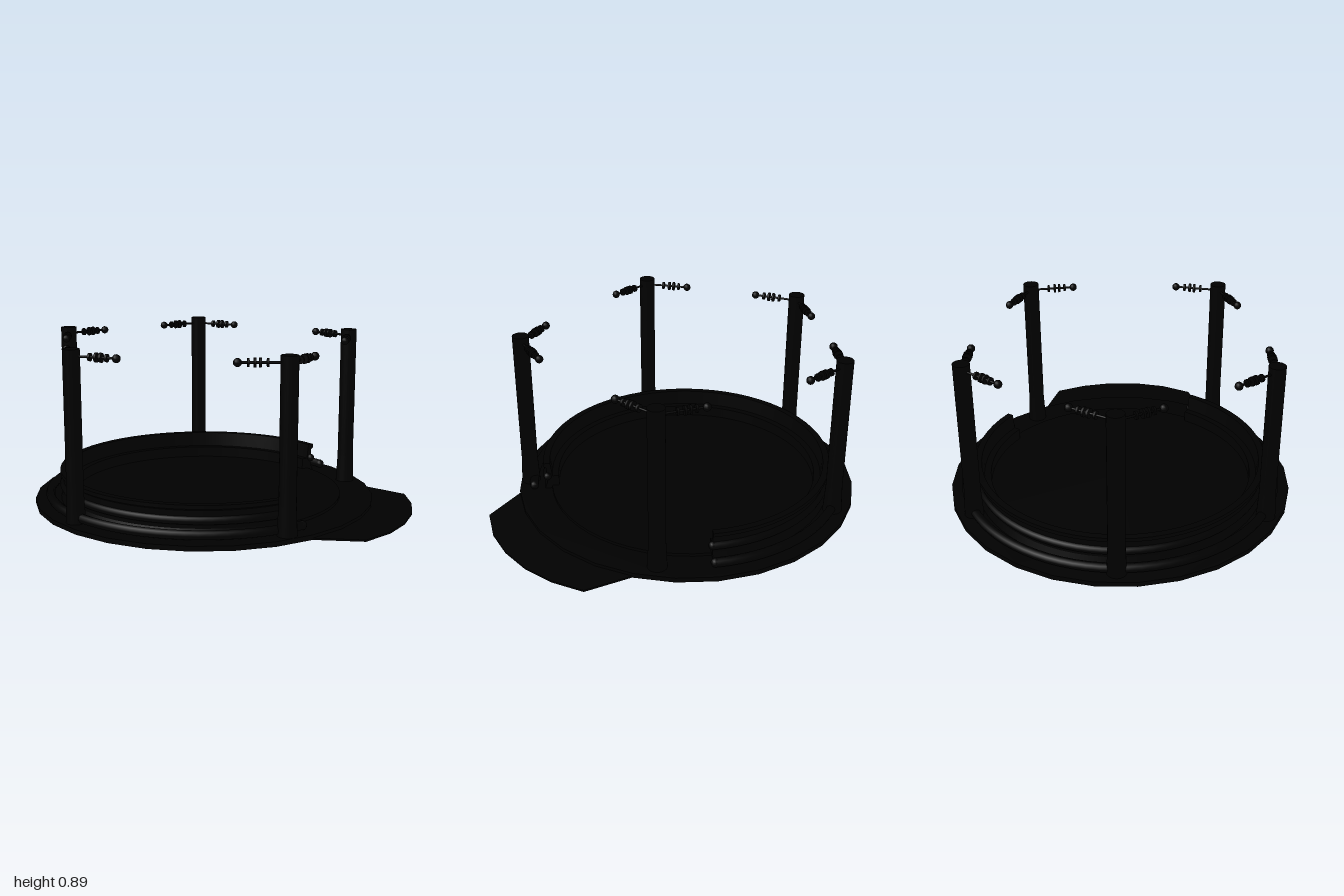
import * as THREE from 'three';

const CZ = -0.085; // centre of the round platform
const dark = new THREE.MeshStandardMaterial({ color: 0x000000, side: THREE.DoubleSide });

function add(parent, name, geometry, x = 0, y = 0, z = 0) {
  const mesh = new THREE.Mesh(geometry, dark);
  mesh.name = name;
  mesh.position.set(x, y, z);
  parent.add(mesh);
  return mesh;
}

// Flat slab from [x, z] corners, standing on y = 0
function slab(points, height) {
  const shape = new THREE.Shape(points.map(([x, z]) => new THREE.Vector2(x, -z)));
  return new THREE.ExtrudeGeometry(shape, { depth: height, bevelEnabled: false }).rotateX(-Math.PI / 2);
}

// Three-quarter ring wall, open toward the entrance, with closed ends
function createWall() {
  const wall = new THREE.Group();
  wall.name = 'ringWall';
  const profile = [
    [0.70, 0.02], [0.70, 0.10], [0.735, 0.10], [0.745, 0.18], [0.78, 0.18],
    [0.78, 0.16], [0.765, 0.15], [0.765, 0.06], [0.78, 0.02],
  ].map(([r, y]) => new THREE.Vector2(r, y));
  // separate lathe strips keep the profile edges crisp
  profile.forEach((p, i) => {
    const q = profile[(i + 1) % profile.length];
    add(wall, 'wallFace', new THREE.LatheGeometry([q, p], 48, Math.PI / 2, Math.PI * 1.5));
  });
  const cap = new THREE.ShapeGeometry(new THREE.Shape(profile));
  add(wall, 'wallEnd', cap);
  add(wall, 'wallEnd', cap.clone().rotateY(-Math.PI / 2));
  return wall;
}

// Rounded band around the wall, with rounded ends
function addBand(parent, name, radius, tube, y) {
  const band = new THREE.Group();
  band.name = name;
  band.position.y = y;
  const arc = new THREE.TorusGeometry(radius, tube, 8, 60, Math.PI * 1.5).rotateX(-Math.PI / 2);
  add(band, name + 'Arc', arc);
  add(band, name + 'End', new THREE.SphereGeometry(tube, 10, 8), radius, 0, 0);
  add(band, name + 'End', new THREE.SphereGeometry(tube, 10, 8), 0, 0, radius);
  parent.add(band);
}

// Thin rod along +x threaded with discs and ending in a ball
function createBeadArm() {
  const arm = new THREE.Group();
  arm.name = 'beadArm';
  add(arm, 'rod', new THREE.CylinderGeometry(0.006, 0.006, 0.24, 8).rotateZ(Math.PI / 2), 0.12);
  for (const [x, r] of [[0.10, 0.02], [0.135, 0.024], [0.16, 0.024], [0.19, 0.02]]) {
    add(arm, 'bead', new THREE.CylinderGeometry(r, r, 0.011, 12).rotateZ(Math.PI / 2), x);
  }
  add(arm, 'endBall', new THREE.SphereGeometry(0.021, 12, 8), 0.24);
  return arm;
}

export function createModel() {
  const model = new THREE.Group();
  model.name = 'ringOfPosts';

  // Base disc and the thin entrance apron
  const rim = [];
  for (let i = 0; i < 28; i++) {
    const a = (i / 28) * Math.PI * 2;
    rim.push([Math.cos(a) * 0.915, CZ + Math.sin(a) * 0.915]);
  }
  add(model, 'baseDisc', slab(rim, 0.025));
  add(model, 'entranceApron', slab([
    [0.3, 0.25], [0.82, 0.31], [0.895, 0.555], [0.80, 0.70], [0.68, 0.82],
    [0.53, 0.915], [0.37, 0.975], [0.19, 0.995], [0, 0.83],
  ], 0.009));

  // Arena inside the base
  const arena = new THREE.Group();
  arena.name = 'arena';
  arena.position.z = CZ;
  add(arena, 'floor', new THREE.CylinderGeometry(0.74, 0.74, 0.02, 56), 0, 0.03, 0);
  arena.add(createWall());
  addBand(arena, 'lowerBand', 0.835, 0.024, 0.052);
  addBand(arena, 'upperBand', 0.762, 0.022, 0.1);
  model.add(arena);

  // Posts with a pair of arms swept 28 degrees inward from the tangent
  const posts = [[-0.445, -0.79], [0.44, -0.79], [-0.835, 0.01], [0.785, 0.19], [-0.105, 0.765]];
  const sweep = THREE.MathUtils.degToRad(28);
  for (const [x, z] of posts) {
    const post = new THREE.Group();
    post.name = 'post';
    post.position.set(x, 0, z);
    add(post, 'shaft', new THREE.CylinderGeometry(0.043, 0.043, 0.72, 20), 0, 0.53, 0);
    add(post, 'flaredFoot', new THREE.CylinderGeometry(0.043, 0.05, 0.15, 20), 0, 0.1, 0);
    const radial = Math.atan2(z - CZ, x);
    for (const side of [-1, 1]) {
      const arm = createBeadArm();
      arm.position.y = 0.855;
      arm.rotation.y = -(radial + side * (Math.PI / 2 + sweep));
      post.add(arm);
    }
    model.add(post);
  }
  return model;
}
